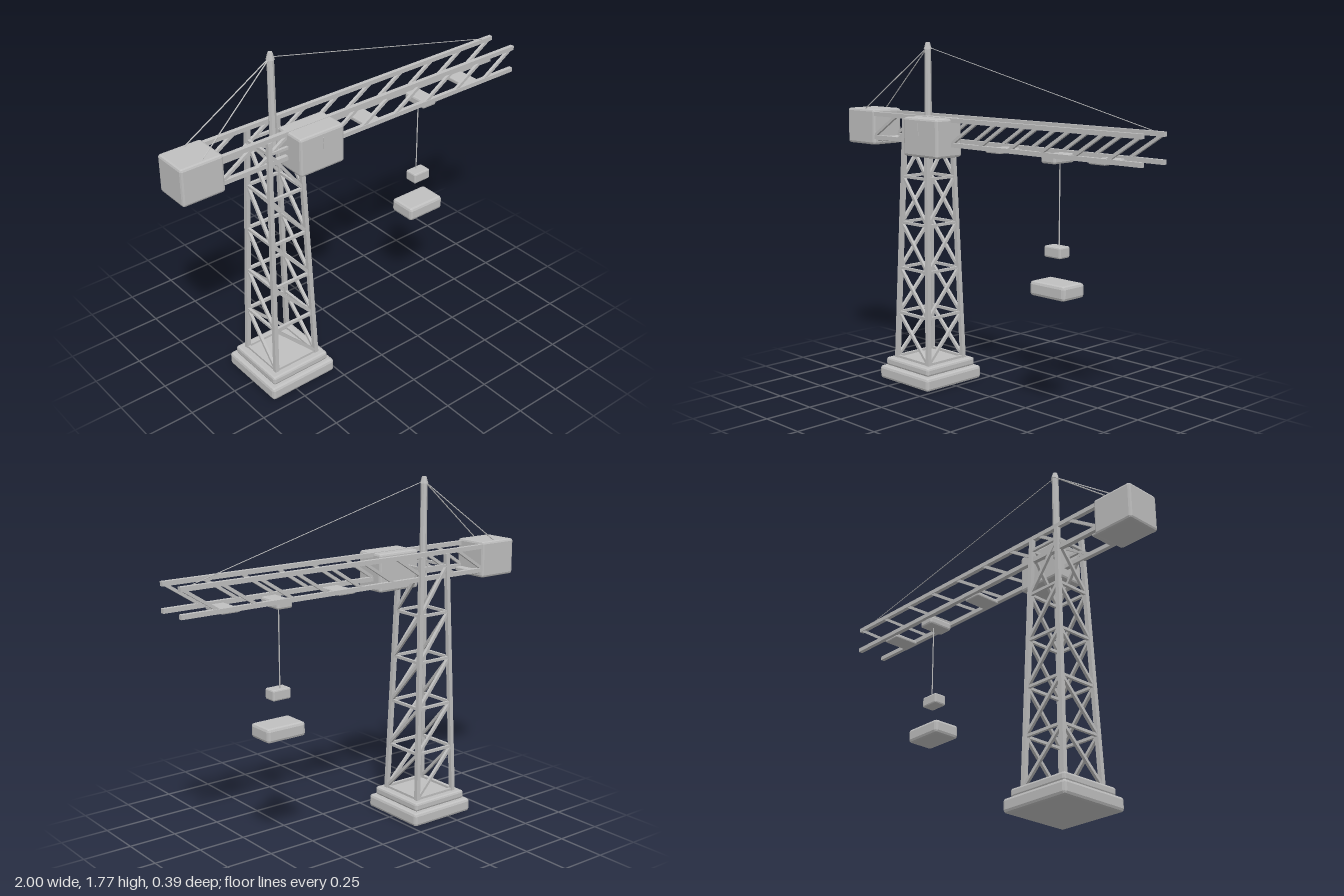
import * as THREE from 'three';
import { RoundedBoxGeometry } from 'three/addons/geometries/RoundedBoxGeometry.js';

const V = (x, y, z) => new THREE.Vector3(x, y, z);

export function createModel() {
  const crane = new THREE.Group();
  crane.name = 'towerCrane';
  const grey = new THREE.MeshStandardMaterial({ color: 0xbfbfbf, flatShading: true });
  grey.name = 'paintedSteelGrey';

  const add = (name, geometry, parent = crane) => {
    const mesh = new THREE.Mesh(geometry, grey);
    mesh.name = name;
    parent.add(mesh);
    return mesh;
  };
  const group = (name) => {
    const g = new THREE.Group();
    g.name = name;
    crane.add(g);
    return g;
  };
  // box with chamfered edges, given by its extents
  const block = (name, [x0, x1], [y0, y1], [z0, z1], bevel, parent) => {
    const mesh = add(name, new RoundedBoxGeometry(x1 - x0, y1 - y0, z1 - z0, 1, bevel), parent);
    mesh.position.set((x0 + x1) / 2, (y0 + y1) / 2, (z0 + z1) / 2);
    return mesh;
  };
  // place a y-aligned geometry between two points
  const span = (mesh, a, b) => {
    mesh.position.copy(a).add(b).multiplyScalar(0.5);
    mesh.quaternion.setFromUnitVectors(V(0, 1, 0), b.clone().sub(a).normalize());
    return mesh;
  };
  const beam = (name, a, b, w, parent) =>
    span(add(name, new THREE.BoxGeometry(w, a.distanceTo(b), w), parent), a, b);
  const cable = (name, a, b, r, parent) =>
    span(add(name, new THREE.CylinderGeometry(r, r, a.distanceTo(b), 6), parent), a, b);

  const cx = -0.453, cz = -0.003;

  // stepped foundation
  block('foundation', [cx - 0.19, cx + 0.19], [0, 0.07], [cz - 0.19, cz + 0.19], 0.015);
  block('foundationStep', [cx - 0.166, cx + 0.166], [0.07, 0.115], [cz - 0.166, cz + 0.166], 0.012);

  // tapering lattice tower
  const tower = group('tower');
  const half = (y) => 0.122 - 0.03 * (y - 0.11);
  const corner = (sx, sz, y) => V(cx + sx * half(y), y, cz + sz * half(y));
  for (const sx of [-1, 1])
    for (const sz of [-1, 1])
      beam('towerLeg', corner(sx, sz, 0.1), corner(sx, sz, 1.38), 0.022, tower);
  for (let i = 0; i <= 5; i++) {
    const y = 0.12 + 0.24 * i;
    for (const s of [-1, 1]) {
      beam('towerRing', corner(-1, s, y), corner(1, s, y), 0.014, tower);
      beam('towerRing', corner(s, -1, y), corner(s, 1, y), 0.014, tower);
      if (i === 5) continue;
      beam('towerBrace', corner(-1, s, y + 0.24), corner(1, s, y), 0.015, tower);
      beam('towerBrace', corner(s, 1, y), corner(s, -1, y + 0.24), 0.015, tower);
    }
  }

  // mast and its cap
  cable('mast', V(cx, 1.28, cz), V(cx, 1.74, cz), 0.018).geometry =
    new THREE.CylinderGeometry(0.017, 0.019, 0.46, 8);
  add('mastCap', new THREE.CylinderGeometry(0.011, 0.021, 0.035, 8)).position.set(cx, 1.748, cz);

  // jib: four chords with slanted braces on both sides
  const jib = group('jib');
  const top = 1.389, low = 1.267;
  for (const s of [-1, 1]) {
    const z = cz + s * 0.078;
    for (const y of [low, top]) beam('jibChord', V(-0.9, y, z), V(1, y, z), 0.022, jib);
    for (let i = 0; i < 9; i++) {
      const x = -0.8 + i * 0.2;
      beam('jibBrace', V(x, low, z), V(x + 0.19, top, z), 0.015, jib);
    }
  }
  // cross plates under the jib
  for (const x of [-0.79, 0.085, 0.737])
    block('jibPlate', [x - 0.049, x + 0.049], [1.245, 1.267], [cz - 0.07, cz + 0.07], 0.006, jib);

  // counterweight and operator cabin
  block('counterweight', [-1, -0.78], [1.225, 1.412], [cz - 0.094, cz + 0.094], 0.012);
  block('cabin', [-0.437, -0.187], [1.203, 1.398], [0.012, 0.181], 0.012);
  beam('cabinRail', V(-0.312, 1.31, 0.191), V(-0.316, 1.375, 0.191), 0.003);

  // stay cables
  const peak = V(cx, 1.742, cz);
  for (const s of [-1, 1])
    cable('rearStay', peak, V(-0.885, 1.405, cz + s * 0.074), 0.003);
  cable('frontStay', peak, V(0.97, 1.392, cz - 0.076), 0.002);

  // trolley, hoist rope, hook block and load
  const hoist = group('hoist');
  block('trolley', [0.402, 0.488], [1.225, 1.268], [cz - 0.07, cz + 0.07], 0.01, hoist);
  cable('hoistRope', V(0.445, 1.24, -0.018), V(0.445, 0.82, -0.018), 0.003, hoist);
  block('hookBlock', [0.394, 0.496], [0.78, 0.835], [cz - 0.035, cz + 0.035], 0.008, hoist);
  block('load', [0.338, 0.556], [0.592, 0.664], [cz - 0.074, cz + 0.074], 0.015, hoist);

  return crane;
}
